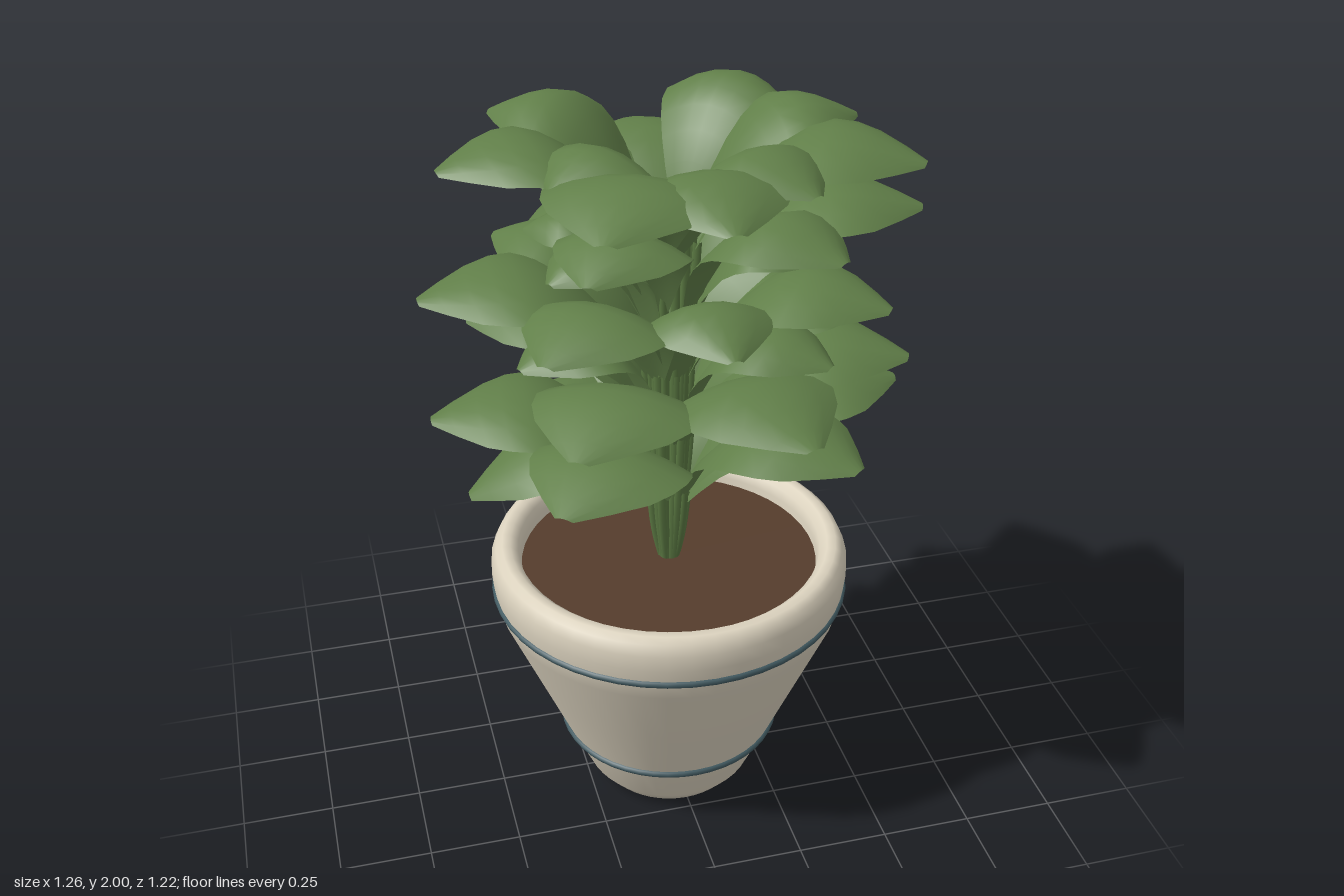
import * as THREE from 'three';

const mat = (name, color) => {
  const m = new THREE.MeshStandardMaterial({ color });
  m.name = name;
  return m;
};
const V2 = (x, y) => new THREE.Vector2(x, y);

// Blade: a midrib curve (distance out, height below crest) with widths across it
function bladeGeometry(midrib, widths) {
  const rows = 10, cols = 6, pos = [], idx = [];
  const rib = new THREE.SplineCurve(midrib.map(([r, y]) => V2(r, y)));
  const wide = new THREE.SplineCurve(widths.map((w, i) => V2(i, w)));
  for (let i = 0; i <= rows; i++) {
    const t = i / rows, p = rib.getPoint(t), w = wide.getPoint(t).y;
    for (let j = 0; j <= cols; j++) {
      const v = (j / cols) * 2 - 1;
      // edges sag and sweep back a little
      pos.push(v * w, p.y - 0.27 * w * v * v, p.x - 0.15 * w * v * v * t);
    }
  }
  const n = cols + 1;
  for (let i = 0; i < rows; i++) {
    for (let j = 0; j < cols; j++) {
      const a = i * n + j, b = a + n;
      idx.push(a, b, a + 1, a + 1, b, b + 1);
    }
  }
  const g = new THREE.BufferGeometry();
  g.setAttribute('position', new THREE.Float32BufferAttribute(pos, 3));
  g.setIndex(idx);
  g.computeVertexNormals();
  return g;
}

export function createModel() {
  const model = new THREE.Group();
  model.name = 'pottedPlant';

  const clay = mat('pale clay', 0xdcd3bf);
  const band = mat('dark teal', 0x435c63);
  const earth = mat('soil brown', 0x553d2c);
  const stalk = mat('stem green', 0x5a7842);
  const foliage = mat('leaf green', 0x617f49);
  foliage.side = THREE.DoubleSide;

  const add = (parent, name, geometry, material) => {
    const m = new THREE.Mesh(geometry, material);
    m.name = name;
    parent.add(m);
    return m;
  };

  const planter = new THREE.Group();
  planter.name = 'planter';
  planter.position.set(-0.004, 0, 0.014);
  model.add(planter);

  // Pot with a rolled rim
  const profile = [
    [0, 0], [0.2, 0.002], [0.24, 0.05], [0.3, 0.185], [0.385, 0.39], [0.472, 0.6],
    [0.483, 0.65], [0.49, 0.7], [0.489, 0.745], [0.476, 0.775], [0.458, 0.788],
    [0.435, 0.787], [0.415, 0.77], [0.408, 0.74], [0.405, 0.69],
  ].map(([x, y]) => V2(x, y));
  add(planter, 'pot', new THREE.LatheGeometry(profile, 48), clay);

  // Bands around the pot
  for (const [y, r] of [[0.19, 0.302], [0.655, 0.481]]) {
    const ring = add(planter, 'potBand', new THREE.TorusGeometry(r, 0.011, 8, 48), band);
    ring.rotation.x = Math.PI / 2;
    ring.position.y = y;
  }

  // Soil
  const soil = add(planter, 'soil', new THREE.CircleGeometry(0.408, 48), earth);
  soil.rotation.x = -Math.PI / 2;
  soil.position.y = 0.72;

  // Two kinds of blade: spreading, and the drooping ones at the bottom
  const spreading = bladeGeometry(
    [[0.045, -0.33], [0.13, -0.17], [0.25, -0.05], [0.37, 0], [0.49, -0.015], [0.61, -0.06]],
    [0.02, 0.1, 0.175, 0.21, 0.165, 0.025]);
  const drooping = bladeGeometry(
    [[0.045, -0.24], [0.12, -0.11], [0.22, -0.02], [0.32, 0], [0.43, -0.055], [0.54, -0.15]],
    [0.02, 0.09, 0.15, 0.18, 0.145, 0.025]);

  // Tiers: crest height, blade, then [angle from the front, size]
  const tiers = [
    [2.0, spreading, [[27, 0.8], [95, 0.79], [137, 0.76], [-127, 0.78], [-52, 0.7]]],
    [1.99, spreading, [[0, 0.93], [62, 1], [-27, 1.01], [-84, 0.93]]],
    [1.82, spreading, [[36, 0.85], [76, 1.01], [116, 0.88], [175, 1], [-157, 0.9], [-36, 0.8]]],
    [1.73, spreading, [[-62, 0.62], [-115, 0.6], [58, 0.65], [150, 0.62]]],
    [1.63, spreading, [[4, 0.78], [56, 0.93], [125, 0.82], [-163, 0.98], [-135, 0.87], [-92, 1.03], [-45, 0.91]]],
    [1.495, spreading, [[45, 0.75], [95, 0.9], [150, 0.88], [-108, 0.85], [-70, 0.72]]],
    [1.44, spreading, [[18, 1.03], [69, 1], [-34, 1.02], [-137, 0.87], [122, 1.02]]],
    [1.26, spreading, [[40, 0.95], [90, 1.03], [135, 0.85], [176, 0.92], [-39, 0.99], [-97, 1.02]]],
    [1.135, drooping, [[90, 0.98], [130, 1.18], [178, 0.95], [-137, 1.16], [-93, 1]]],
  ];

  const plant = new THREE.Group();
  plant.name = 'plant';
  model.add(plant);
  for (const [crest, blade, leaves] of tiers) {
    for (const [angle, size] of leaves) {
      const leaf = new THREE.Group();
      leaf.name = 'leaf';
      leaf.rotation.y = THREE.MathUtils.degToRad(angle);
      plant.add(leaf);

      // Upper leaves start a little further from the middle
      const out = 0.03 * (crest - 1.1);
      const mesh = add(leaf, 'leafBlade', blade, foliage);
      mesh.scale.set(size, 1, size - out);
      mesh.position.set(0, crest, out);

      const end = new THREE.Vector3(0, crest - (blade === drooping ? 0.23 : 0.32), 0.047 * (size - out) + out);
      const path = new THREE.QuadraticBezierCurve3(
        new THREE.Vector3(0, 0.71, 0.018),
        new THREE.Vector3(0, (0.71 + end.y) / 2, 0.045),
        end);
      add(leaf, 'leafStem', new THREE.TubeGeometry(path, 6, 0.012, 6), stalk);
    }
  }
  return model;
}
